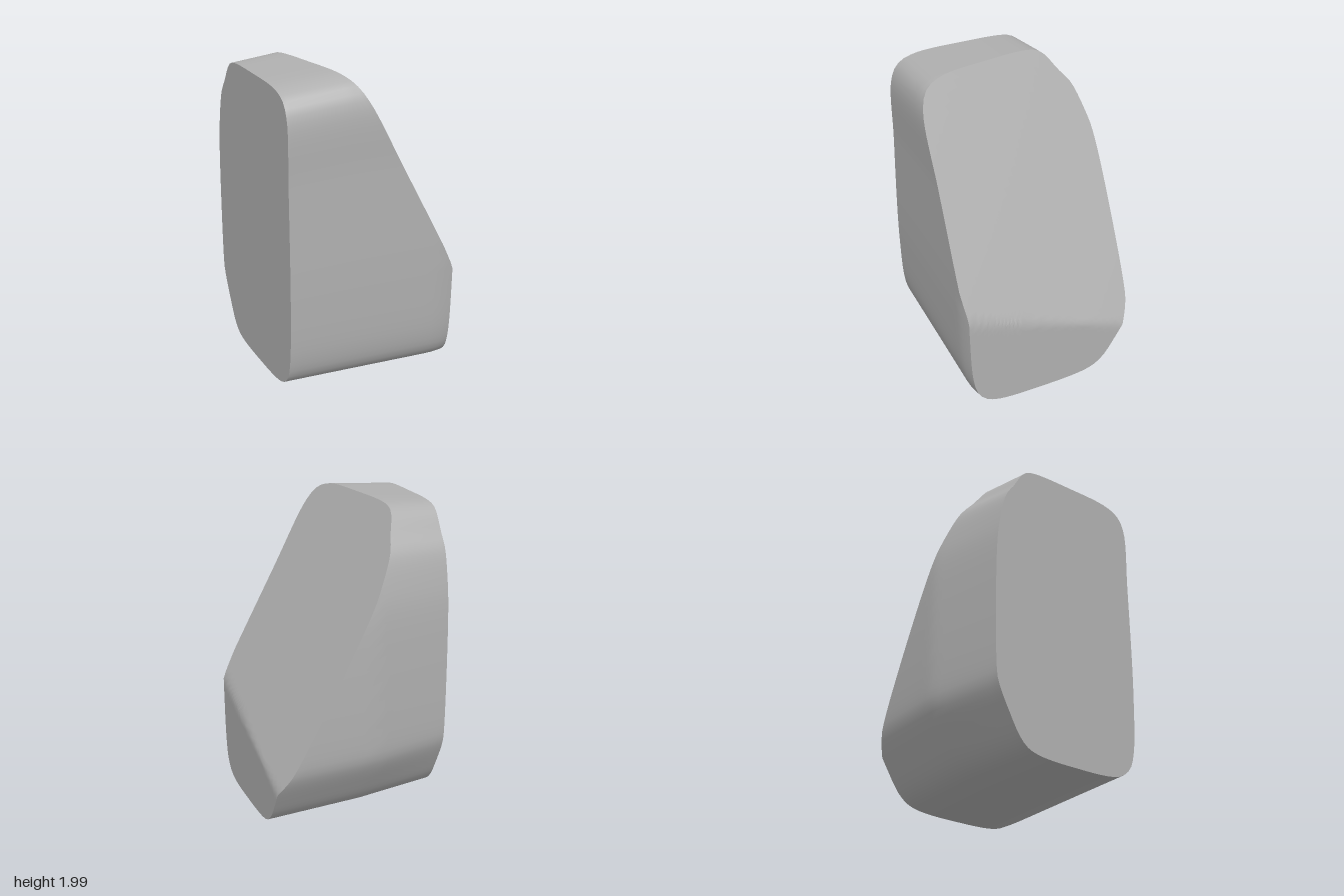
import * as THREE from 'three';
import { toCreasedNormals } from 'three/addons/utils/BufferGeometryUtils.js';

const END = 0.565; // half width along x
const SIDES = 120;

// Rounded block outline as (z, y), anticlockwise when seen from +x
const OUTLINE = [
  [-0.27, 1.985], [0.1, 2], [0.42, 1.985], [0.52, 1.94], [0.57, 1.84], [0.58, 1.4],
  [0.585, 0.6], [0.56, 0.2], [0.52, 0.09], [0.43, 0.025], [0.08, 0.005], [-0.28, 0.035],
  [-0.37, 0.09], [-0.48, 0.25], [-0.57, 0.42], [-0.585, 0.5], [-0.585, 1.33],
  [-0.56, 1.53], [-0.5, 1.74], [-0.43, 1.83], [-0.34, 1.95],
];

// The slanted cut, stopped by the upright end
const cutX = (y, z) => Math.min(END, -0.22 + 0.18 * z + (2 - y) / 1.92);

// Outline point at a given x: sloping base, dipping top, narrower back corner
function shapeAt(x, z, y) {
  const base = 0.062 * (1 - y / 2) * (END - x) / (2 * END);
  const top = 0.03 * (y / 2) * Math.max(0, (-0.15 - x) / 0.415);
  const taper = Math.max(0, (-0.06 - x) / 0.505);
  const tip = Math.max(0, (x - 0.48) / 0.085);
  const nz = z < 0 ? z * (1 - 0.16 * taper) : z * (1 - 0.035 * tip);
  return new THREE.Vector3(x, y + base - top, nz);
}

// Surface through a list of closed rings
function loft(rows) {
  const n = rows[0].length;
  const index = [];
  for (let i = 0; i < rows.length - 1; i++) {
    for (let j = 0; j < n; j++) {
      const k = (j + 1) % n;
      const a = i * n + j, b = i * n + k, c = a + n, d = b + n;
      index.push(a, b, c, b, d, c);
    }
  }
  const geometry = new THREE.BufferGeometry().setFromPoints(rows.flat());
  geometry.setIndex(index);
  return toCreasedNormals(geometry, 0.6);
}

export function createModel() {
  const group = new THREE.Group();
  group.name = 'stoneBlock';
  const stone = new THREE.MeshStandardMaterial({ color: 0xb0b0b0 });
  stone.name = 'stone grey';

  const curve = new THREE.CatmullRomCurve3(
    OUTLINE.map(([z, y]) => new THREE.Vector3(0, y, z)), true, 'centripetal');
  const ring = curve.getSpacedPoints(SIDES).slice(0, SIDES);

  // Where each line of the block meets the cut
  const edgeX = ring.map(({ y, z }) => {
    let x = cutX(y, z);
    for (let i = 0; i < 6; i++) {
      const p = shapeAt(x, z, y);
      x = cutX(p.y, p.z);
    }
    return x;
  });

  // Rounded wall running from the flat end to the cut
  const wall = [];
  for (let i = 0; i <= 16; i++) {
    wall.push(ring.map(({ y, z }, j) =>
      shapeAt(THREE.MathUtils.lerp(-END, edgeX[j], i / 16), z, y)));
  }

  // Slanted face and upright end, in rings shrinking to the middle
  const slope = [];
  for (let i = 0; i <= 24; i++) {
    const s = 1 - i / 24;
    slope.push(wall[16].map((p) => {
      const y = 0.9 + (p.y - 0.9) * s, z = p.z * s;
      return new THREE.Vector3(i ? cutX(y, z) : p.x, y, z);
    }));
  }

  // Flat end
  const flat = [ring.map(() => new THREE.Vector3(-END, 1, 0)), wall[0]];

  const parts = { roundedWall: wall, slantedFace: slope, flatEnd: flat };
  for (const [name, rows] of Object.entries(parts)) {
    const mesh = new THREE.Mesh(loft(rows), stone);
    mesh.name = name;
    group.add(mesh);
  }
  return group;
}
